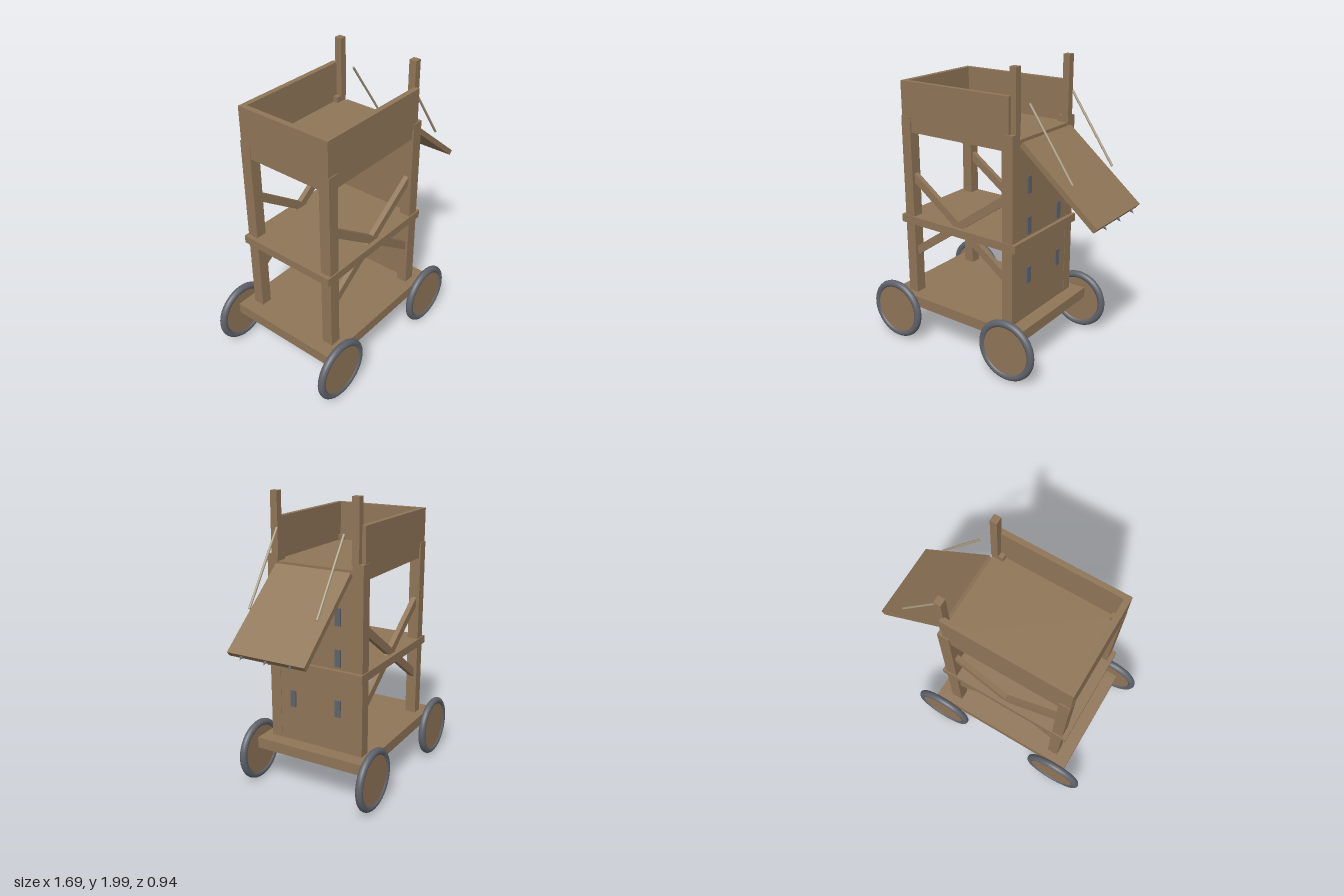
import * as THREE from 'three';

const material = (color) => new THREE.MeshStandardMaterial({ color });

export function createModel() {
  const model = new THREE.Group();
  const wood = material(0x8f7557), iron = material(0x5f636a), rope = material(0xa89a80);

  const add = (name, geometry, mat, parent = model) => {
    const mesh = new THREE.Mesh(geometry, mat);
    mesh.name = name;
    parent.add(mesh);
    return mesh;
  };
  // Box given by its lower and upper limits on each axis
  const box = (name, [x0, x1], [y0, y1], [z0, z1], mat = wood) => {
    const mesh = add(name, new THREE.BoxGeometry(x1 - x0, y1 - y0, z1 - z0), mat);
    mesh.position.set((x0 + x1) / 2, (y0 + y1) / 2, (z0 + z1) / 2);
    return mesh;
  };
  // Limits along z, mirrored for the other side
  const side = (s, a, b) => (s > 0 ? [a, b] : [-b, -a]);

  // Platforms
  box('base', [-0.70, 0.385], [0.265, 0.34], [-0.405, 0.405]);
  box('middleDeck', [-0.635, 0.315], [0.855, 0.91], [-0.355, 0.355]);
  box('topDeck', [-0.60, 0.285], [1.495, 1.56], [-0.335, 0.335]);

  // Boarded end wall with arrow slits
  box('endWall', [0.255, 0.288], [0.34, 1.50], [-0.27, 0.27]);
  for (const y of [0.585, 0.93, 1.2])
    for (const s of [1, -1])
      box('arrowSlit', [0.28, 0.298], [y, y + 0.115], side(s, 0.15, 0.19), iron);

  // Parapet end
  box('parapetEnd', [-0.603, -0.565], [1.56, 1.83], [-0.34, 0.34]);

  for (const s of [1, -1]) {
    // Corner posts, parapet side and tall gate post
    box('rearPost', [-0.605, -0.53], [0.34, 1.60], side(s, 0.27, 0.347));
    box('frontPost', [0.21, 0.29], [0.34, 1.60], side(s, 0.27, 0.347));
    box('parapetSide', [-0.603, 0.255], [1.56, 1.83], side(s, 0.305, 0.341));
    box('gatePost', [0.243, 0.29], [1.59, 2.0], side(s, 0.265, 0.315));

    // Crossed braces
    for (const d of [1, -1]) {
      const brace = add('crossBrace', new THREE.BoxGeometry(0.95, 0.054, 0.035), wood);
      brace.position.set(-0.16, 0.917, s * 0.308);
      brace.rotation.z = d * Math.atan2(0.525, 0.74);
    }

    // Drawbridge rope
    const top = new THREE.Vector3(0.335, 1.782, s * 0.238);
    const end = new THREE.Vector3(0.642, 1.338, s * 0.238);
    const line = add('bridgeRope', new THREE.CylinderGeometry(0.008, 0.008, top.distanceTo(end), 10), rope);
    line.position.copy(top).lerp(end, 0.5);
    line.rotation.z = Math.atan2(0.307, 0.444);

    // Wheels
    for (const x of [-0.635, 0.315]) {
      const wheel = new THREE.Group();
      wheel.name = 'wheel';
      wheel.position.set(x, 0.22, s * 0.445);
      model.add(wheel);
      add('tyre', new THREE.TorusGeometry(0.187, 0.025, 16, 48), iron, wheel);
      add('wheelDisc', new THREE.CylinderGeometry(0.185, 0.185, 0.03, 48), wood, wheel).rotation.x = Math.PI / 2;
    }
  }

  // Lowered drawbridge with iron spikes on its outer edge
  const bridge = new THREE.Group();
  bridge.name = 'drawbridge';
  bridge.position.set(0.56, 1.32, 0);
  bridge.rotation.z = Math.atan2(-0.44, 0.53);
  model.add(bridge);
  add('bridgePlank', new THREE.BoxGeometry(0.68, 0.036, 0.54), wood, bridge);
  for (const z of [-0.17, 0, 0.17]) {
    const spike = add('spike', new THREE.ConeGeometry(0.01, 0.03, 8), iron, bridge);
    spike.position.set(0.354, 0, z);
    spike.rotation.z = -Math.PI / 2;
  }
  return model;
}
